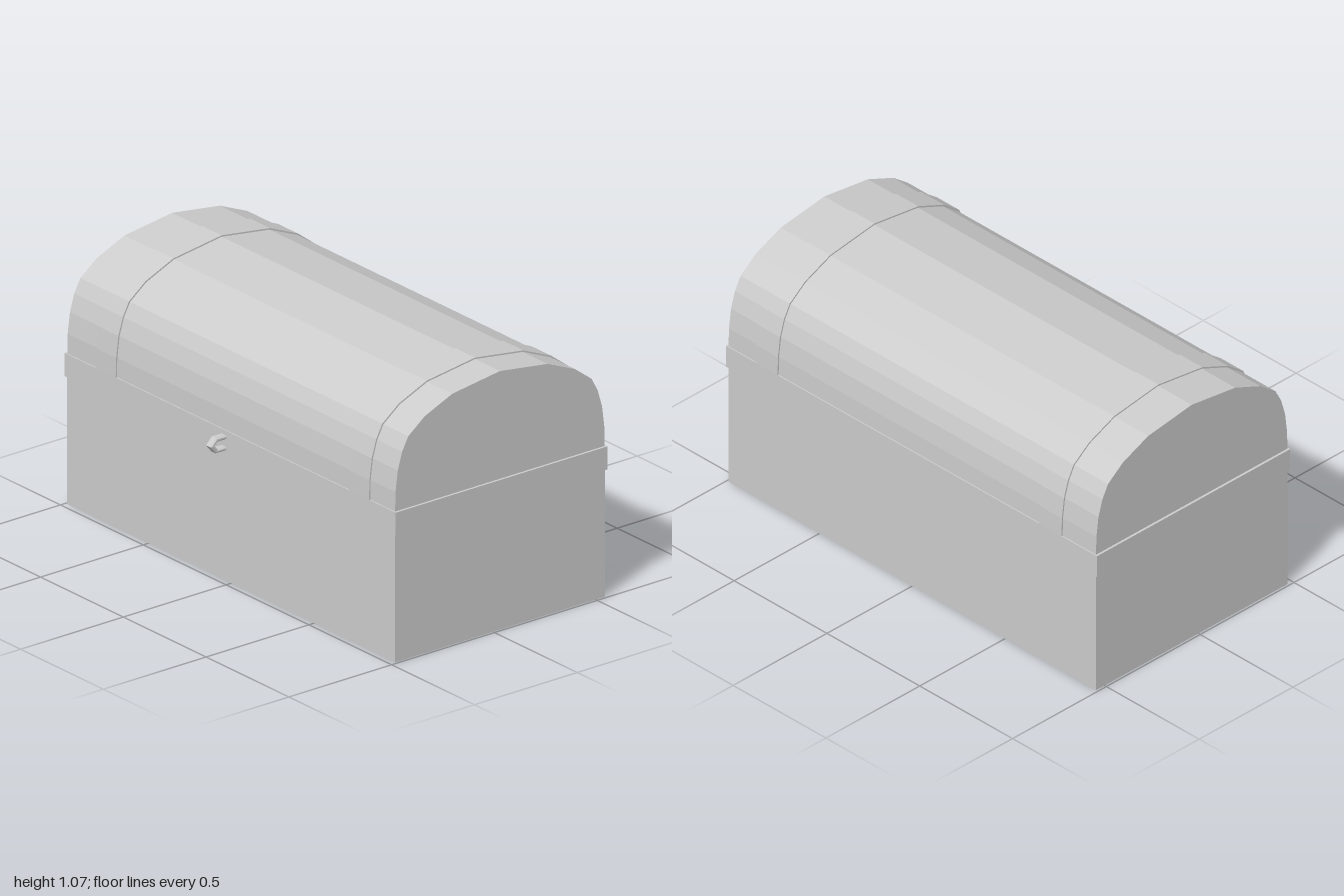
import * as THREE from 'three';

const CENTRE_X = 0.035;

// Half of the domed lid outline, from the rim up to the ridge
const HALF = [
  [0.51, 0.62], [0.508, 0.70], [0.497, 0.786], [0.476, 0.857],
  [0.446, 0.913], [0.366, 0.974], [0.232, 1.031], [0, 1.063],
];

export function createModel() {
  const chest = new THREE.Group();
  chest.name = 'chest';
  const material = new THREE.MeshStandardMaterial({ color: 0xcccccc, flatShading: true });

  const add = (name, geometry, x = 0, y = 0, z = 0) => {
    const mesh = new THREE.Mesh(geometry, material);
    mesh.name = name;
    mesh.position.set(x, y, z);
    chest.add(mesh);
  };

  // Dome outline, optionally swollen outward by a small amount
  const dome = (grow) => {
    const right = HALF.map(([x, y]) => new THREE.Vector2(
      x + grow * x / 0.51, y + grow * (y - 0.62) / 0.443));
    const left = right.slice(0, -1).reverse().map((p) => new THREE.Vector2(-p.x, p.y));
    return new THREE.Shape([...right, ...left]);
  };
  const extrude = (shape, depth) => {
    const g = new THREE.ExtrudeGeometry(shape, { depth, bevelEnabled: false });
    return g.translate(0, 0, -depth / 2);
  };

  // Body and the rim band around its top
  add('body', new THREE.BoxGeometry(1.02, 0.56, 1.98), CENTRE_X, 0.28, 0);
  add('rimBand', new THREE.BoxGeometry(1.03, 0.095, 2), CENTRE_X, 0.5725, 0);

  // Domed lid with two raised straps
  add('lid', extrude(dome(0), 1.98), CENTRE_X);
  add('frontStrap', extrude(dome(0.006), 0.12), CENTRE_X, 0, 0.78);
  add('backStrap', extrude(dome(0.006), 0.12), CENTRE_X, 0, -0.75);

  // Clasp loop on the right side, bevelled like a bent rod
  const loop = new THREE.Shape([
    [-0.46, 0.596], [-0.524, 0.596], [-0.549, 0.571], [-0.527, 0.544], [-0.46, 0.544],
    [-0.46, 0.549], [-0.522, 0.549], [-0.541, 0.571], [-0.521, 0.590], [-0.46, 0.590],
  ].map(([x, y]) => new THREE.Vector2(x, y)));
  const clasp = new THREE.ExtrudeGeometry(loop, {
    depth: 0.024, bevelSize: 0.005, bevelThickness: 0.005, bevelSegments: 1,
  });
  add('claspLoop', clasp, 0, 0, -0.052);

  return chest;
}
